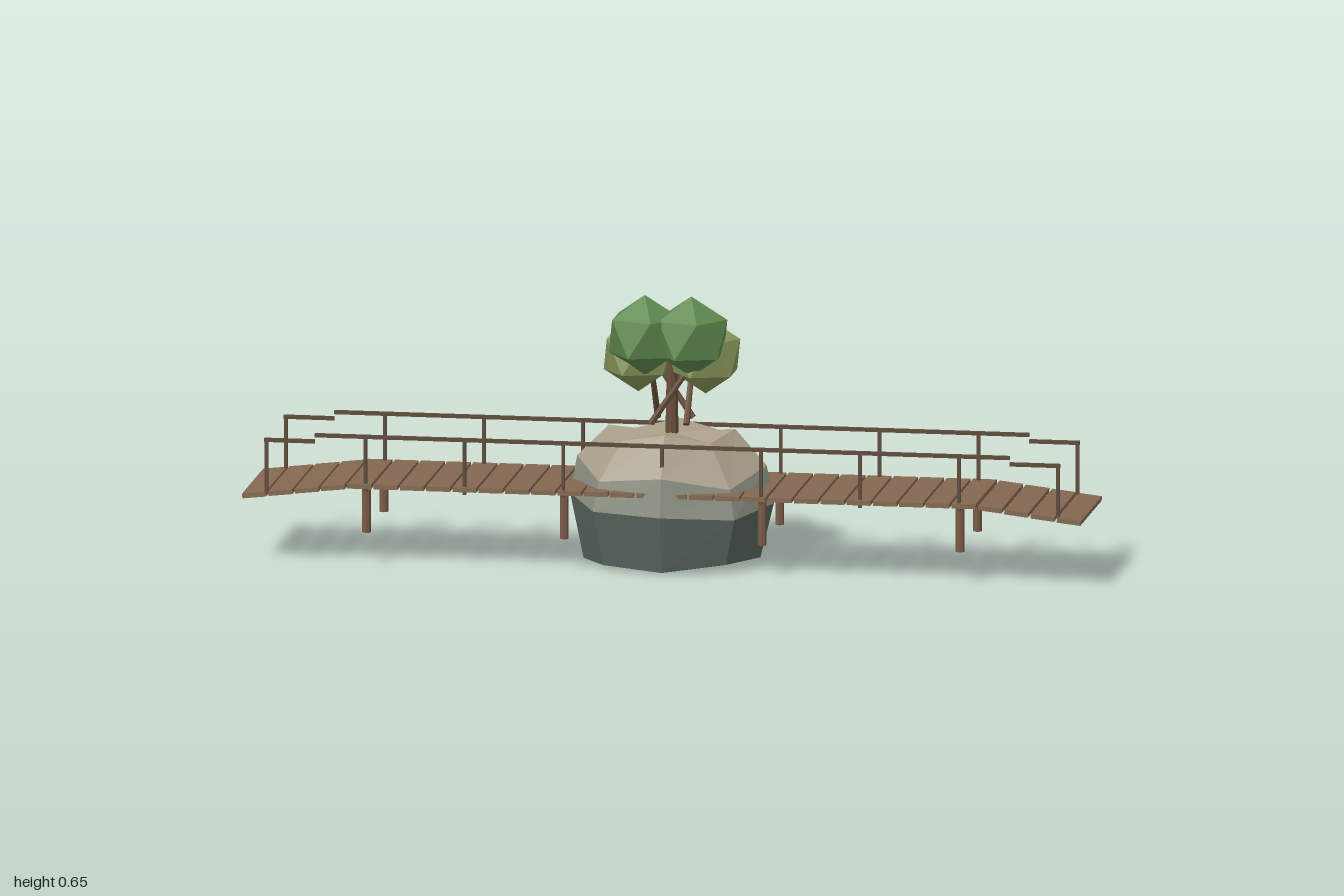
import * as THREE from 'three';

const mat = (color) => new THREE.MeshStandardMaterial({ color, flatShading: true, roughness: 1 });
const deckWood = mat(0x846850), railWood = mat(0x5e4a3a), pileWood = mat(0x7a5c46), bark = mat(0x6a4e3c);
const leafDark = mat(0x5f8a4e), leafLight = mat(0x88985a);

function add(parent, name, geometry, material, x = 0, y = 0, z = 0) {
  const mesh = new THREE.Mesh(geometry, material);
  mesh.name = name;
  mesh.position.set(x, y, z);
  parent.add(mesh);
  return mesh;
}

// Tapered round limb between two points
function limb(parent, name, a, b, r0, r1, material, sides = 7) {
  const from = new THREE.Vector3(...a), to = new THREE.Vector3(...b);
  const dir = to.clone().sub(from);
  const mesh = add(parent, name, new THREE.CylinderGeometry(r1, r0, dir.length(), sides), material);
  mesh.position.copy(from).add(to).multiplyScalar(0.5);
  mesh.quaternion.setFromUnitVectors(new THREE.Vector3(0, 1, 0), dir.normalize());
}

// Eight-sided ring: half widths in x and z, then the height of each corner
function ring(rx, rz, heights) {
  return heights.map((y, i) => {
    const a = (i * Math.PI) / 4, k = i % 2 ? 0.98 : 1;
    return [rx * k * Math.cos(a), y, rz * k * Math.sin(a)];
  });
}

// Triangulated band from a lower ring to an upper ring (or a single point)
function band(lower, upper) {
  const p = [], n = lower.length;
  for (let i = 0; i < n; i++) {
    const j = (i + 1) % n;
    if (upper.length === 1) p.push(...lower[i], ...upper[0], ...lower[j]);
    else if (lower.length === n) {
      p.push(...lower[i], ...upper[i], ...lower[j]);
      p.push(...lower[j], ...upper[i], ...upper[j]);
    }
  }
  const g = new THREE.BufferGeometry();
  g.setAttribute('position', new THREE.Float32BufferAttribute(p, 3));
  g.computeVertexNormals();
  return g;
}

function createRock() {
  const rock = new THREE.Group();
  rock.name = 'rock';
  const base = ring(0.21, 0.15, [0.02, 0.02, 0.005, 0.01, 0.005, 0.01, 0.005, 0.02]);
  const waist = ring(0.242, 0.174, [0.15, 0.13, 0.14, 0.14, 0.16, 0.15, 0.12, 0.16]);
  const shoulder = ring(0.225, 0.157, [0.24, 0.2, 0.23, 0.21, 0.25, 0.21, 0.22, 0.23]);
  const crown = ring(0.15, 0.108, [0.325, 0.303, 0.325, 0.303, 0.325, 0.303, 0.325, 0.305]);
  add(rock, 'rockUnderside', band([...base].reverse(), [[0, 0, 0]]), mat(0x4a524f));
  add(rock, 'rockLower', band(base, waist), mat(0x59655f));
  add(rock, 'rockMiddle', band(waist, shoulder), mat(0x8b8f80));
  add(rock, 'rockUpper', band(shoulder, crown), mat(0xa89e88));
  add(rock, 'rockTop', band(crown, [[0, 0.312, 0]]), mat(0xa89e88));
  return rock;
}

function createBridge() {
  const bridge = new THREE.Group();
  bridge.name = 'bridge';

  // Planks, level in the middle and sloping down at both ends
  const count = 32, pitch = 2 / count, plank = new THREE.BoxGeometry(pitch * 0.9, 0.011, 0.304);
  for (let i = 0; i < count; i++) {
    const x = -1 + pitch * (i + 0.5);
    const slope = Math.max(0, Math.abs(x) - 0.74);
    const mesh = add(bridge, 'plank', plank, deckWood, x * 0.9985, 0.188 - slope * 0.125, 0);
    if (slope > 0) mesh.rotation.z = -Math.sign(x) * 0.11;
  }

  for (const z of [-0.139, 0.139]) {
    // Handrail with lower end pieces
    add(bridge, 'handrail', new THREE.BoxGeometry(1.65, 0.009, 0.008), railWood, 0, 0.305, z);
    for (const s of [-1, 1])
      add(bridge, 'endHandrail', new THREE.BoxGeometry(0.12, 0.009, 0.008), railWood, s * 0.885, 0.29, z);
    // Railing posts
    for (let i = -4; i <= 4; i++) {
      const low = Math.abs(i) === 4, top = low ? 0.292 : 0.307, bottom = low ? 0.165 : 0.175;
      add(bridge, 'railPost', new THREE.BoxGeometry(0.008, top - bottom, 0.008), railWood,
        i * 0.235, (top + bottom) / 2, z);
    }
    // Piles under the deck
    for (const x of [-0.705, -0.235, 0.235, 0.705])
      add(bridge, 'pile', new THREE.CylinderGeometry(0.0105, 0.0105, 0.115, 8), pileWood,
        x, 0.132, Math.sign(z) * 0.124);
  }
  return bridge;
}

function createTree() {
  const tree = new THREE.Group();
  tree.name = 'tree';
  limb(tree, 'trunk', [0, 0.29, 0], [0, 0.5, 0], 0.016, 0.012, bark, 8);

  // Four leaning branches set around the trunk like a pinwheel
  for (let i = 0; i < 4; i++) {
    const c = Math.round(Math.cos((i * Math.PI) / 2)), s = Math.round(Math.sin((i * Math.PI) / 2));
    const turn = (x, y, z) => [x * c + z * s, y, z * c - x * s];
    limb(tree, 'branch', turn(0.041, 0.34, 0.043), turn(0.041, 0.57, -0.112), 0.008, 0.005, bark);
  }

  // Faceted leaf clumps, each with a corner pointing straight up
  const clumps = [
    [-0.055, 0.553, 0.056, 0.096, leafDark], [0.055, 0.553, 0.056, 0.096, leafDark],
    [-0.08, 0.499, 0, 0.092, leafLight], [0.08, 0.499, 0, 0.092, leafLight],
    [0, 0.502, -0.075, 0.093, leafLight],
  ];
  for (const [x, y, z, r, m] of clumps)
    add(tree, 'leafClump', new THREE.IcosahedronGeometry(r, 0).rotateZ(-0.5536), m, x, y, z);
  return tree;
}

export function createModel() {
  const model = new THREE.Group();
  model.name = 'rockBridgeWithTree';
  model.add(createRock(), createBridge(), createTree());
  return model;
}
